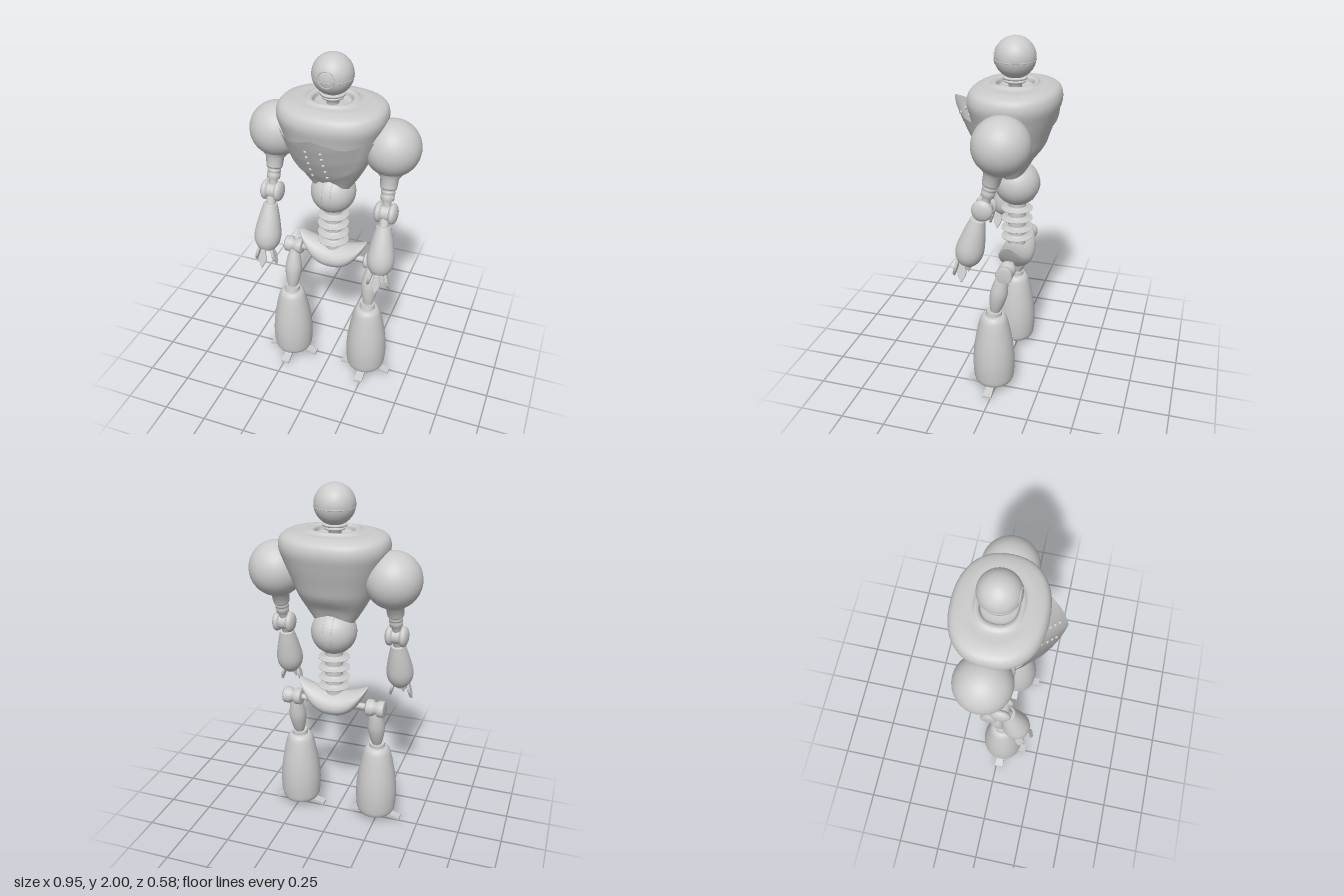
import * as THREE from 'three';

const mat = new THREE.MeshStandardMaterial({ color: 0xcccccc });
const thin = new THREE.MeshStandardMaterial({ color: 0xcccccc, side: THREE.DoubleSide });
const V = (x, y, z) => new THREE.Vector3(x, y, z);

function add(parent, name, geometry, pos = [0, 0, 0], material = mat) {
  const mesh = new THREE.Mesh(geometry, material);
  mesh.name = name;
  mesh.position.set(...pos);
  parent.add(mesh);
  return mesh;
}

// Turned part: profile of [radius, 0..1] running from point a to point b
function turned(parent, name, a, b, profile, smooth = true) {
  const len = a.distanceTo(b);
  let pts = profile.map(([r, t]) => new THREE.Vector2(r, t * len));
  if (smooth) pts = new THREE.SplineCurve(pts).getPoints(28).map(p => new THREE.Vector2(Math.max(p.x, 0), p.y));
  const mesh = add(parent, name, new THREE.LatheGeometry(pts, 28), a.toArray(), thin);
  mesh.quaternion.setFromUnitVectors(V(0, 1, 0), b.clone().sub(a).normalize());
  return mesh;
}

// Plain cylinder between two points
const rod = (parent, name, a, b, r0, r1 = r0) =>
  turned(parent, name, a, b, [[0, 0], [r0, 0], [r0, 0], [r1, 1], [r1, 1], [0, 1]], false);

// Smooth skin over point(i, j); closed around j when wrap is set
function loft(rows, cols, wrap, point) {
  const pos = [], idx = [];
  for (let i = 0; i < rows; i++) for (let j = 0; j < cols; j++) pos.push(...point(i, j));
  for (let i = 0; i < rows - 1; i++) {
    for (let j = 0; j < (wrap ? cols : cols - 1); j++) {
      const a = i * cols + j, b = i * cols + (j + 1) % cols;
      idx.push(a, a + cols, b, b, a + cols, b + cols);
    }
  }
  const g = new THREE.BufferGeometry();
  g.setAttribute('position', new THREE.Float32BufferAttribute(pos, 3));
  g.setIndex(idx);
  g.computeVertexNormals();
  return g;
}

// Torso sections: y, half width, front z, back z
const SECTIONS = [
  [1.235, 0.095, 0.05, -0.12], [1.31, 0.145, 0.085, -0.145], [1.40, 0.195, 0.13, -0.19],
  [1.50, 0.235, 0.165, -0.225], [1.60, 0.272, 0.19, -0.26], [1.68, 0.295, 0.205, -0.28],
  [1.73, 0.28, 0.185, -0.265], [1.752, 0.225, 0.13, -0.215], [1.757, 0.15, 0.09, -0.165],
  [1.768, 0.125, 0.075, -0.15], [1.76, 0.105, 0.06, -0.135], [1.735, 0.095, 0.05, -0.125], [1.735, 0, -0.04, -0.04],
];
const curve = k => new THREE.CatmullRomCurve3(SECTIONS.map(s => V(s[0], s[k], 0)), false, 'centripetal');
const [widthCurve, frontCurve, backCurve] = [1, 2, 3].map(curve);
const power = (v, p) => Math.sign(v) * Math.abs(v) ** p;

function torsoGeometry() {
  const rows = 61, cols = 64;
  return loft(rows, cols, true, (i, j) => {
    const t = i / (rows - 1), a = j / cols * Math.PI * 2;
    const w = widthCurve.getPoint(t), f = frontCurve.getPoint(t).y, b = backCurve.getPoint(t).y;
    const mid = (f + b) / 2, s = power(Math.sin(a), 0.87);
    // lower edge arches up at front and back
    const lift = 0.075 * Math.sin(a) ** 2 * Math.max(0, 1 - t / 0.2);
    return [w.y * power(Math.cos(a), 0.87), w.x + lift, mid + s * (f - b) / 2];
  });
}

// Pointed breast plate with a raised central ridge
function plateGeometry() {
  const at = (y, k) => {
    const i = Math.max(0, Math.min(4, SECTIONS.findIndex(s => s[0] > y) - 1));
    const [p, q] = [SECTIONS[i], SECTIONS[i + 1]];
    return p[k] + (q[k] - p[k]) * (y - p[0]) / (q[0] - p[0]);
  };
  const rows = 17, cols = 49;
  return loft(rows, cols, false, (i, j) => {
    const t = i / (rows - 1), s = 1 - 2 * j / (cols - 1), m = Math.abs(s);
    const top = 1.595 + 0.075 * Math.max(0, 1 - m / 0.42) ** 1.3;
    const low = 1.34 + 0.15 * m;
    const y = low + (top - low) * t, f = at(y, 2), b = at(y, 3);
    const a = s * 1.35, mid = (f + b) / 2;
    const out = 0.006 + 0.075 * t * Math.max(0, 1 - m / 0.6) ** 1.2 + 0.012 * (1 - m * m);
    return [(at(y, 1) + 0.006) * power(Math.sin(a), 0.87), y, mid + (f - b) / 2 * power(Math.cos(a), 0.87) + out];
  });
}

// Crescent pelvis, lofted across x
function pelvisGeometry() {
  const rows = 41, cols = 32;
  return loft(rows, cols, true, (i, j) => {
    const s = -Math.cos(i / (rows - 1) * Math.PI), m = Math.abs(s), a = j / cols * Math.PI * 2;
    const top = 0.84 + 0.055 * m * m, low = 0.70 + 0.19 * m ** 2.7;
    const c = Math.cos(a), rz = 0.093 * Math.sqrt(Math.max(0, 1 - s * s)) * (1 - 0.15 * c);
    return [0.203 * s, (top + low) / 2 + c * (top - low) / 2, -0.053 - rz * Math.sin(a)];
  });
}

// Flat, slightly drooping toe pointing along +z
function toeGeometry() {
  const g = new THREE.BoxGeometry(1, 1, 1), p = g.attributes.position;
  for (let i = 0; i < p.count; i++) {
    const tip = p.getZ(i) > 0, up = p.getY(i) > 0;
    p.setXYZ(i, p.getX(i) * (tip ? 0.05 : 0.04), tip ? (up ? 0.018 : 0.004) : (up ? 0.052 : 0.028), tip ? 0.152 : 0.03);
  }
  g.computeVertexNormals();
  return g;
}

// Pointed blade finger hanging from its origin
function fingerGeometry() {
  const shape = new THREE.Shape([[-0.009, 0.012], [-0.022, -0.035], [-0.019, -0.055], [0, -0.092],
    [0.019, -0.055], [0.022, -0.035], [0.009, 0.012]].map(p => new THREE.Vector2(...p)));
  return new THREE.ExtrudeGeometry(shape, { depth: 0.01, bevelSize: 0.003, bevelThickness: 0.003, bevelSegments: 1 });
}

function buildArm(side) {
  const arm = new THREE.Group();
  arm.name = side > 0 ? 'leftArm' : 'rightArm';
  const x = 0.33 * side;
  add(arm, 'shoulder', new THREE.SphereGeometry(0.153, 32, 24), [0.324 * side, 1.525, -0.053]);
  const top = V(0.327 * side, 1.40, -0.02), elbow = V(x, 1.18, 0.037);
  turned(arm, 'upperArm', top, elbow, [[0.075, 0], [0.05, 0.14], [0.046, 0.36], [0.043, 0.40], [0.03, 0.42],
    [0.038, 0.45], [0.038, 0.51], [0.029, 0.53], [0.038, 0.56], [0.036, 0.68], [0.024, 0.72], [0.024, 1]], false);
  // elbow: two rounded lobes on a hub
  rod(arm, 'elbowHub', V(x - 0.055, 1.18, 0.037), V(x + 0.055, 1.18, 0.037), 0.044);
  for (const k of [-1, 1]) {
    const lobe = add(arm, 'elbowLobe', new THREE.SphereGeometry(0.058, 24, 16), [x + k * 0.038, 1.18, 0.037]);
    lobe.scale.x = 0.48;
  }
  rod(arm, 'forearmNeck', V(x, 1.17, 0.045), V(x, 1.10, 0.075), 0.027);
  const wrist = V(0.337 * side, 0.85, 0.137);
  turned(arm, 'forearm', V(x, 1.115, 0.07), wrist, [[0, 0], [0.036, 0.005], [0.043, 0.06], [0.062, 0.35],
    [0.076, 0.66], [0.07, 0.85], [0.052, 0.97], [0.04, 1], [0, 1]]);
  rod(arm, 'palm', wrist, V(0.337 * side, 0.838, 0.142), 0.034);
  for (const angle of [-Math.PI / 2, 0, Math.PI / 2]) {
    const mount = new THREE.Group();
    mount.name = 'finger';
    mount.position.set(0.337 * side, 0.85, 0.148);
    mount.rotation.y = angle;
    add(mount, 'fingerBlade', fingerGeometry(), [0, 0, 0.035]).rotation.x = -0.26;
    arm.add(mount);
  }
  return arm;
}

function buildLeg(side) {
  const leg = new THREE.Group();
  leg.name = side > 0 ? 'leftLeg' : 'rightLeg';
  const x = 0.24 * side, hip = d => V(d * side, 0.767, -0.055);
  rod(leg, 'hipRod', hip(0.1), hip(0.22), 0.018);
  turned(leg, 'hipJoint', hip(0.192), hip(0.30), [[0, 0], [0.042, 0], [0.047, 0.08], [0.047, 0.36], [0.036, 0.42],
    [0.036, 0.58], [0.047, 0.66], [0.047, 0.94], [0.043, 1], [0, 1]], false);
  turned(leg, 'thigh', V(x, 0.505, 0.01), V(x, 0.755, -0.038),
    [[0.026, 0], [0.04, 0.2], [0.049, 0.47], [0.042, 0.72], [0.03, 0.93], [0.027, 1]]);
  turned(leg, 'shin', V(x, 0.045, 0.018), V(x, 0.485, 0.018), [[0, 0], [0.09, 0], [0.108, 0.025], [0.116, 0.1],
    [0.12, 0.3], [0.113, 0.52], [0.097, 0.74], [0.08, 0.91], [0.068, 0.97], [0.05, 1], [0, 1]]);
  rod(leg, 'knee', V(x, 0.48, 0.018), V(x, 0.51, 0.014), 0.047, 0.043);
  const ankle = add(leg, 'ankle', new THREE.SphereGeometry(0.062, 24, 16), [x, 0.05, 0.018]);
  ankle.scale.y = 0.8;
  for (const angle of [-Math.PI / 2, 0, Math.PI / 2])
    add(leg, 'toe', toeGeometry(), [x, 0, 0.018]).rotation.y = angle;
  return leg;
}

export function createModel() {
  const model = new THREE.Group();
  model.name = 'robot';

  // head with seam and round eye
  const head = new THREE.Group();
  head.name = 'head';
  head.position.set(0, 1.891, -0.036);
  model.add(head);
  add(head, 'skull', new THREE.SphereGeometry(0.109, 40, 28));
  add(head, 'seam', new THREE.TorusGeometry(0.108, 0.0025, 6, 48), [0, -0.012, 0]).rotation.x = Math.PI / 2;
  add(head, 'eyeRing', new THREE.TorusGeometry(0.045, 0.003, 8, 32), [0, 0.002, 0.1]);
  const eye = add(head, 'eye', new THREE.SphereGeometry(0.045, 28, 16), [0, 0.002, 0.096]);
  eye.scale.z = 0.25;
  turned(model, 'neck', V(0, 1.73, -0.036), V(0, 1.81, -0.036), [[0.034, 0], [0.034, 0.4], [0.056, 0.42], [0.056, 0.52],
    [0.034, 0.54], [0.034, 0.62], [0.066, 0.64], [0.066, 0.76], [0.034, 0.8], [0.034, 1]], false);

  // torso, breast plate and its two rows of studs
  add(model, 'torso', torsoGeometry(), [0, 0, 0], thin);
  const plate = add(model, 'breastPlate', plateGeometry(), [0, 0, 0], thin);
  plate.updateMatrixWorld();
  const ray = new THREE.Raycaster();
  for (const y of [1.40, 1.45, 1.50, 1.545, 1.585]) {
    for (const k of [-1, 1]) {
      ray.set(V(k * 0.04, y, 1), V(0, 0, -1));
      const hit = ray.intersectObject(plate)[0];
      if (hit) add(model, 'stud', new THREE.SphereGeometry(0.009, 12, 8), hit.point.toArray());
    }
  }

  // belly ball with raised seams
  add(model, 'belly', new THREE.SphereGeometry(0.126, 40, 28), [0, 1.2, -0.05]);
  for (const k of [-1, 1])
    add(model, 'bellySeam', new THREE.TorusGeometry(0.1235, 0.002, 6, 48), [k * 0.024, 1.2, -0.05]).rotation.y = Math.PI / 2;

  // ribbed spine and pelvis
  rod(model, 'spine', V(0, 0.80, -0.05), V(0, 1.10, -0.05), 0.049);
  for (const y of [0.875, 0.928, 0.988, 1.048])
    turned(model, 'spineDisc', V(0, y - 0.015, -0.05), V(0, y + 0.015, -0.05),
      [[0.049, 0], [0.06, 0.35], [0.088, 0.45], [0.088, 0.55], [0.06, 0.65], [0.049, 1]], false);
  add(model, 'pelvis', pelvisGeometry(), [0, 0, 0], thin);

  for (const side of [-1, 1]) model.add(buildArm(side), buildLeg(side));
  return model;
}
